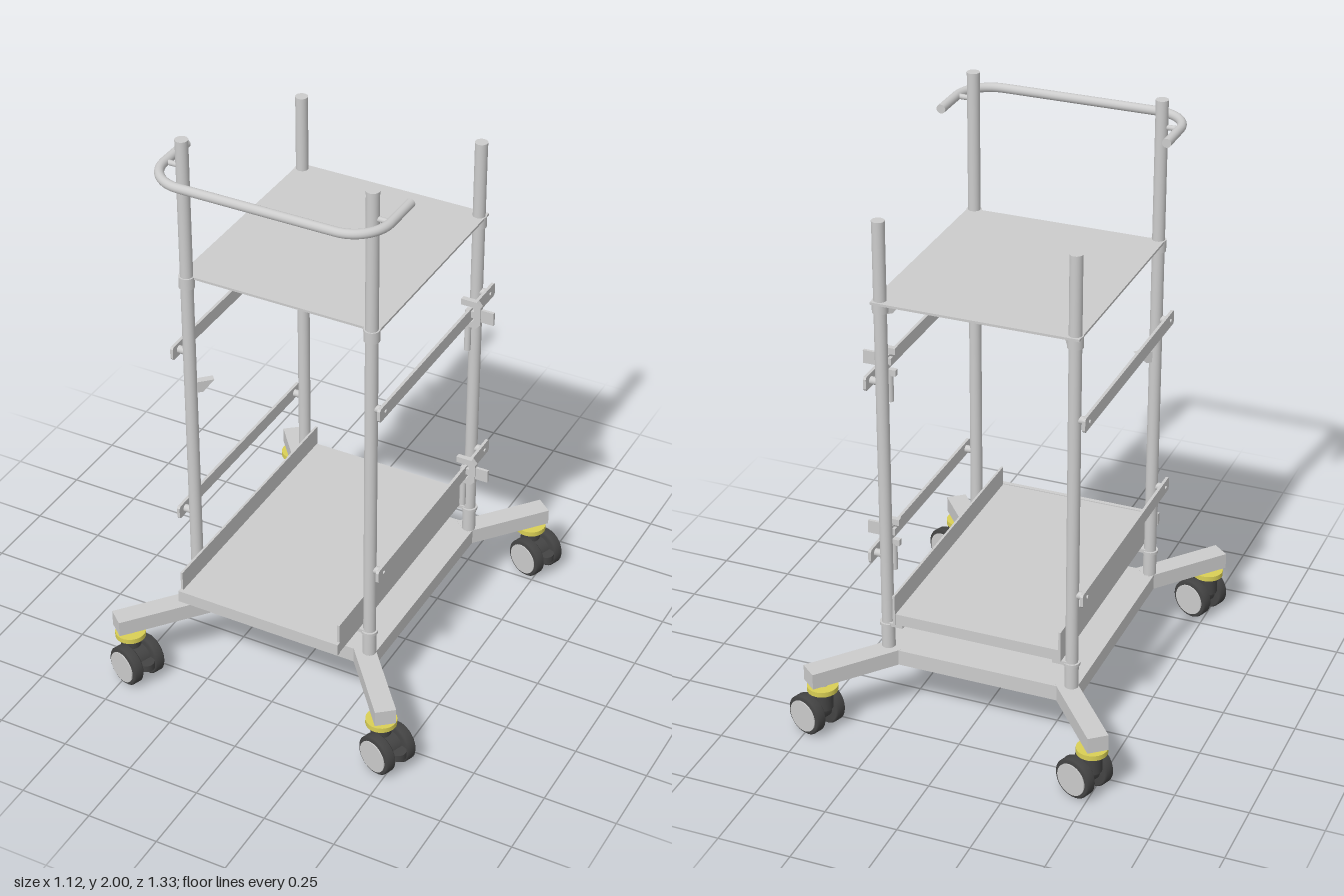
import * as THREE from 'three';

const grey = new THREE.MeshStandardMaterial({ color: 0xcccccc });
const greyThin = new THREE.MeshStandardMaterial({ color: 0xcccccc, side: THREE.DoubleSide });
const dark = new THREE.MeshStandardMaterial({ color: 0x444444 });
const yellow = new THREE.MeshStandardMaterial({ color: 0xd9cf55 });

function add(parent, name, geometry, x, y, z, material = grey) {
  const mesh = new THREE.Mesh(geometry, material);
  mesh.name = name;
  mesh.position.set(x, y, z);
  parent.add(mesh);
  return mesh;
}

// Box given by its minimum and maximum on each axis
function box(parent, name, x0, x1, y0, y1, z0, z1, material = grey) {
  return add(parent, name, new THREE.BoxGeometry(x1 - x0, y1 - y0, z1 - z0),
    (x0 + x1) / 2, (y0 + y1) / 2, (z0 + z1) / 2, material);
}

// Upright cylinder from y0 to y1
function rod(parent, name, r, x, z, y0, y1, material = grey) {
  return add(parent, name, new THREE.CylinderGeometry(r, r, y1 - y0, 28), x, (y0 + y1) / 2, z, material);
}

function shapeFrom(points) {
  return new THREE.Shape(points.map(([x, y]) => new THREE.Vector2(x, y)));
}

// Triangular gusset pointing from a post toward the middle
function gusset(parent, sx, sz, y) {
  const geometry = new THREE.ExtrudeGeometry(
    shapeFrom([[0, -0.04], [0.03, -0.04], [0.068, 0], [0, 0]]), { depth: 0.024, bevelEnabled: false });
  geometry.translate(0.008, 0, -0.012);
  add(parent, 'shelfBracket', geometry, sx * 0.325, y, sz * 0.378)
    .rotation.y = Math.atan2(sz, -sx);
}

// Twin-wheel swivel caster
function caster(x, z) {
  const g = new THREE.Group();
  g.name = 'caster';
  rod(g, 'casterStem', 0.018, 0, 0, 0.13, 0.2);
  rod(g, 'casterRing', 0.052, 0, 0, 0.158, 0.176, yellow);
  rod(g, 'casterNeck', 0.034, 0, 0, 0.09, 0.158, dark);
  const hub = new THREE.CylinderGeometry(0.045, 0.045, 0.05, 28).rotateX(Math.PI / 2);
  add(g, 'casterHousing', hub, 0.03, 0.075, 0, dark);
  rod(g, 'brakePedal', 0.028, 0.08, 0, 0.065, 0.09, dark);
  box(g, 'brakeArm', 0.03, 0.08, 0.068, 0.088, -0.02, 0.02, dark);
  const profile = [[0, -0.02], [0.064, -0.02], [0.07, -0.014], [0.07, 0.014], [0.064, 0.02], [0, 0.02]];
  for (const s of [-1, 1]) {
    const wheel = new THREE.LatheGeometry(profile.map(([r, h]) => new THREE.Vector2(r, h)), 36);
    add(g, 'wheel', wheel.rotateX(Math.PI / 2), 0.03, 0.07, s * 0.045, dark);
    const cap = new THREE.CylinderGeometry(0.056, 0.056, 0.006, 32).rotateX(Math.PI / 2);
    add(g, 'wheelCap', cap, 0.03, 0.07, s * 0.066);
  }
  g.position.set(x, 0, z);
  g.rotation.y = -0.35;
  return g;
}

// C-shaped rail clamp with thumb screw and hanging lever
function clamp(y) {
  const g = new THREE.Group();
  g.name = 'railClamp';
  const jaw = shapeFrom([[-0.035, 0.05], [0.02, 0.05], [0.035, 0.033], [0.035, -0.033], [0.02, -0.05],
    [-0.035, -0.05], [-0.035, -0.028], [0.005, -0.028], [0.012, -0.02], [0.012, 0.02], [0.005, 0.028], [-0.035, 0.028]]);
  const geometry = new THREE.ExtrudeGeometry(jaw, { depth: 0.018, bevelEnabled: false });
  add(g, 'clampJaw', geometry, 0, 0, -0.009);
  box(g, 'thumbScrew', 0.012, 0.08, -0.023, 0.023, -0.005, 0.005);
  box(g, 'clampPad', -0.02, 0.014, -0.012, 0.012, -0.009, 0.009);
  rod(g, 'clampLever', 0.011, -0.012, 0, -0.145, -0.045);
  g.position.set(0.373, y, -0.24);
  return g;
}

export function createModel() {
  const model = new THREE.Group();
  model.name = 'equipmentTrolley';
  const frame = new THREE.Group();
  frame.name = 'frame';
  frame.position.set(-0.023, 0, -0.003);
  model.add(frame);

  // Base slab
  box(frame, 'base', -0.345, 0.345, 0.19, 0.245, -0.4, 0.39);

  for (const sx of [-1, 1]) for (const sz of [-1, 1]) {
    const x = sx * 0.325, z = sz * 0.378;

    // Splayed leg and caster
    const from = new THREE.Vector2(sx * 0.3, sz * 0.368), to = new THREE.Vector2(sx * 0.507, sz * 0.618);
    const d = to.clone().sub(from);
    add(frame, 'leg', new THREE.BoxGeometry(d.length(), 0.056, 0.07),
      (from.x + to.x) / 2, 0.2175, (from.y + to.y) / 2).rotation.y = Math.atan2(-d.y, d.x);
    frame.add(caster(sx * 0.474, sz * 0.582));

    // Post with its collars
    const top = sz > 0 ? 2 : 1.785;
    rod(frame, 'post', 0.021, x, z, 0.24, top - 0.012);
    rod(frame, 'postCap', 0.0215, x, z, top - 0.012, top);
    rod(frame, 'postSleeve', 0.023, x, z, 0.245, 0.33);
    rod(frame, 'postFlange', 0.028, x, z, 0.33, 0.34);
    rod(frame, 'shelfCollar', 0.026, x, z, 1.475, 1.515);
    box(frame, 'traySupport', Math.min(x, x - sx * 0.06), Math.max(x, x - sx * 0.06), 0.332, 0.345, z - 0.02, z + 0.02);

    // One gusset sits lower on its post
    gusset(frame, sx, sz, sx < 0 && sz > 0 ? 1.115 : 1.508);

    // Spacers and bolts for the side rails
    for (const y of [0.595, 1.228]) {
      const spacer = new THREE.CylinderGeometry(0.013, 0.013, 0.05, 20).rotateZ(Math.PI / 2);
      add(frame, 'railSpacer', spacer, sx * 0.345, y, z);
      const bolt = new THREE.CylinderGeometry(0.006, 0.006, 0.006, 16).rotateZ(Math.PI / 2);
      add(frame, 'railBolt', bolt, sx * 0.376, y, z);
    }
  }

  // Side rails with clipped ends
  const rail = shapeFrom([[-0.415, -0.017], [-0.409, -0.024], [0.409, -0.024], [0.415, -0.017],
    [0.415, 0.017], [0.409, 0.024], [-0.409, 0.024], [-0.415, 0.017]]);
  for (const s of [-1, 1]) for (const y of [0.595, 1.228]) {
    const geometry = new THREE.ExtrudeGeometry(rail, { depth: 0.01, bevelEnabled: false });
    geometry.translate(0, 0, -0.005).rotateY(Math.PI / 2);
    add(frame, 'sideRail', geometry, s * 0.369, y, 0);
  }
  frame.add(clamp(0.6), clamp(1.232));

  // Top shelf with the shallow box beneath
  box(frame, 'shelf', -0.348, 0.348, 1.507, 1.515, -0.405, 0.378);
  box(frame, 'underShelfBox', -0.298, 0.298, 1.468, 1.507, -0.22, 0.175);

  // Lower tray, projecting forward
  box(frame, 'trayFloor', -0.295, 0.295, 0.345, 0.385, -0.4, 0.535);
  for (const s of [-1, 1]) {
    const x = s * 0.292;
    box(frame, 'traySide', x - 0.004, x + 0.004, 0.345, 0.456, -0.405, 0.535, greyThin);
  }
  box(frame, 'trayFrontLip', -0.298, 0.298, 0.345, 0.388, 0.535, 0.55);

  // Push handle: rounded U in plan
  const path = new THREE.CurvePath();
  const v = (x, z) => new THREE.Vector3(x, 1.908, z);
  const w = 0.386, r = 0.12, zf = 0.5, k = r * 0.45;
  path.add(new THREE.LineCurve3(v(-w, 0.255), v(-w, zf - r)));
  path.add(new THREE.CubicBezierCurve3(v(-w, zf - r), v(-w, zf - k), v(-w + k, zf), v(-w + r, zf)));
  path.add(new THREE.LineCurve3(v(-w + r, zf), v(w - r, zf)));
  path.add(new THREE.CubicBezierCurve3(v(w - r, zf), v(w - k, zf), v(w, zf - k), v(w, zf - r)));
  path.add(new THREE.LineCurve3(v(w, zf - r), v(w, 0.255)));
  add(frame, 'handle', new THREE.TubeGeometry(path, 120, 0.0155, 16), 0, 0, 0);
  for (const s of [-1, 1]) {
    const end = new THREE.CylinderGeometry(0.0155, 0.0155, 0.006, 16).rotateX(Math.PI / 2);
    add(frame, 'handleEnd', end, s * w, 1.908, 0.254);
    const link = new THREE.CylinderGeometry(0.009, 0.009, 0.06, 16).rotateZ(Math.PI / 2);
    add(frame, 'handleMount', link, s * 0.355, 1.908, 0.378);
  }
  return model;
}
